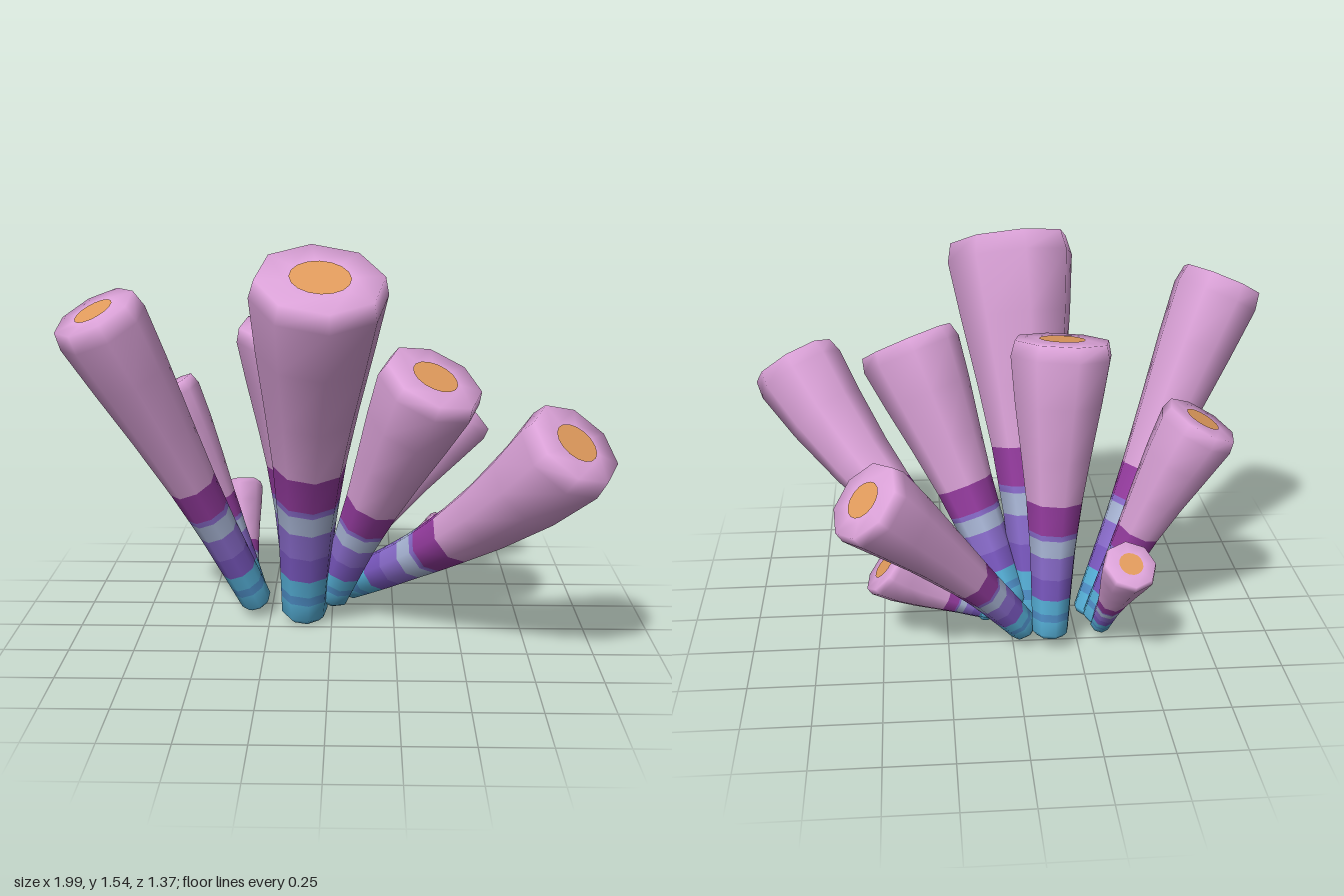
import * as THREE from 'three';

const mat = (name, color) => Object.assign(new THREE.MeshStandardMaterial({ color }), { name });

const SIDES = 8;

// Colour bands below the pink wall: [end as a share of the banded length, colour name]
const BANDS = [
  [0.11, 'cyan'], [0.17, 'blue'], [0.28, 'cyan'], [0.44, 'violet'], [0.61, 'lightViolet'],
  [0.74, 'paleBlue'], [0.78, 'lightViolet'], [1, 'purple'],
];

// Tube thickness relative to the mouth: [fraction of length, radius]
const PROFILE = [[0, 0.37], [0.13, 0.41], [0.28, 0.46], [0.46, 0.57], [0.62, 0.71], [0.8, 0.88], [0.95, 1]];

// Name, base point, tip point, mouth radius, outward bend, fraction where the pink wall starts
const TUBES = [
  ['tallFrontTube', [-0.11, 0.037, -0.09], [-0.03, 1.44, 0.36], 0.25, 0.2, 0.46],
  ['rightOuterTube', [-0.31, 0.06, -0.14], [-0.85, 1.3, 0.23], 0.172, 0.02, 0.43],
  ['frontMiddleTube', [0.0, 0.1, -0.11], [0.38, 1.07, 0.255], 0.2, 0.03, 0.45],
  ['leftOuterTube', [0.07, 0.12, -0.19], [0.85, 0.9, 0.535], 0.187, -0.18, 0.48],
  ['backOuterTube', [-0.04, 0.07, -0.26], [0.54, 0.77, -0.54], 0.162, 0.07, 0.38],
  ['shortSideTube', [0.07, 0.11, -0.19], [0.485, 0.33, -0.215], 0.117, -0.2, 0.43],
  ['rightBackTube', [-0.33, 0.08, -0.22], [-0.695, 0.91, -0.25], 0.152, 0.1, 0.45],
  ['tallBackTube', [-0.14, 0.08, -0.3], [-0.185, 1.2, -0.155], 0.193, 0.2, 0.47],
  ['shortBackTube', [-0.34, 0.06, -0.25], [-0.41, 0.45, -0.485], 0.103, 0.02, 0.44],
];

function radiusAt(t) {
  const i = PROFILE.findIndex(([end]) => end > 0 && t <= end);
  const [t0, r0] = PROFILE[i - 1], [t1, r1] = PROFILE[i];
  return THREE.MathUtils.lerp(r0, r1, (t - t0) / (t1 - t0));
}

function createTube([name, base, tip, radius, bend, pinkStart], materials) {
  const group = new THREE.Group();
  group.name = name;
  const a = new THREE.Vector3(...base), b = new THREE.Vector3(...tip);

  // Gentle sideways bend
  const mid = a.clone().lerp(b, 0.5);
  mid.x -= bend * (b.x - a.x);
  mid.z -= bend * (b.z - a.z);
  const curve = new THREE.QuadraticBezierCurve3(a, mid, b);

  const positions = [], index = [];
  const addRing = (t, r, lift = 0) => {
    const dir = curve.getTangentAt(t);
    const u = new THREE.Vector3(0, 0, 1).cross(dir).normalize();
    const v = dir.clone().cross(u);
    const centre = curve.getPointAt(t).addScaledVector(dir, lift);
    const start = positions.length / 3;
    for (let i = 0; i < SIDES; i++) {
      const angle = ((i + 0.25) / SIDES) * Math.PI * 2;
      const p = centre.clone().addScaledVector(u, r * Math.cos(angle)).addScaledVector(v, r * Math.sin(angle));
      positions.push(p.x, p.y, p.z);
    }
    return start;
  };
  const bridge = (lo, hi) => {
    for (let i = 0; i < SIDES; i++) {
      const j = (i + 1) % SIDES;
      index.push(lo + i, lo + j, hi + j, lo + i, hi + j, hi + i);
    }
  };
  const fan = (ring, flip) => {
    for (let i = 1; i < SIDES - 1; i++) {
      index.push(ring, ring + (flip ? i + 1 : i), ring + (flip ? i : i + 1));
    }
  };

  const geometry = new THREE.BufferGeometry();
  const used = [];
  let groupStart = 0;
  const closeGroup = (colour) => {
    geometry.addGroup(groupStart, index.length - groupStart, used.length);
    used.push(materials[colour]);
    groupStart = index.length;
  };

  // Rounded foot
  const foot = addRing(0, radius * 0.28, -radius * 0.1);
  fan(foot, true);
  let last = addRing(0, radius * radiusAt(0));
  bridge(foot, last);

  // Banded wall, then the plain flaring wall
  const grow = (t) => {
    const next = addRing(t, radius * radiusAt(t));
    bridge(last, next);
    last = next;
  };
  for (const [end, colour] of BANDS) {
    grow(end * pinkStart);
    closeGroup(colour);
  }
  [0.62, 0.8, 0.95].forEach(grow);

  // Soft rim and flat cap
  const rim = addRing(1, radius * 0.93);
  const inner = addRing(1, radius * 0.5);
  bridge(last, rim);
  bridge(rim, inner);
  fan(inner, false);
  closeGroup('pink');

  geometry.setAttribute('position', new THREE.Float32BufferAttribute(positions, 3));
  geometry.setIndex(index);
  geometry.computeVertexNormals();
  const wall = new THREE.Mesh(geometry, used);
  wall.name = 'tubeWall';
  group.add(wall);

  // Orange spot on the cap
  const dir = curve.getTangentAt(1);
  const spot = new THREE.Mesh(new THREE.CircleGeometry(radius * 0.44, 16), materials.orange);
  spot.name = 'capSpot';
  spot.position.copy(b).addScaledVector(dir, 0.004);
  spot.quaternion.setFromUnitVectors(new THREE.Vector3(0, 0, 1), dir);
  group.add(spot);
  return group;
}

export function createModel() {
  const materials = {
    pink: mat('pink', 0xdba2d8),
    purple: mat('purple', 0x963ca0),
    paleBlue: mat('paleBlue', 0xa9b6d6),
    violet: mat('violet', 0x7a58c0),
    lightViolet: mat('lightViolet', 0x8a6ccc),
    blue: mat('blue', 0x4f8fc8),
    cyan: mat('cyan', 0x56b0d8),
    orange: mat('orange', 0xe09a5c),
  };
  const model = new THREE.Group();
  model.name = 'tubeCluster';
  for (const tube of TUBES) model.add(createTube(tube, materials));
  return model;
}
